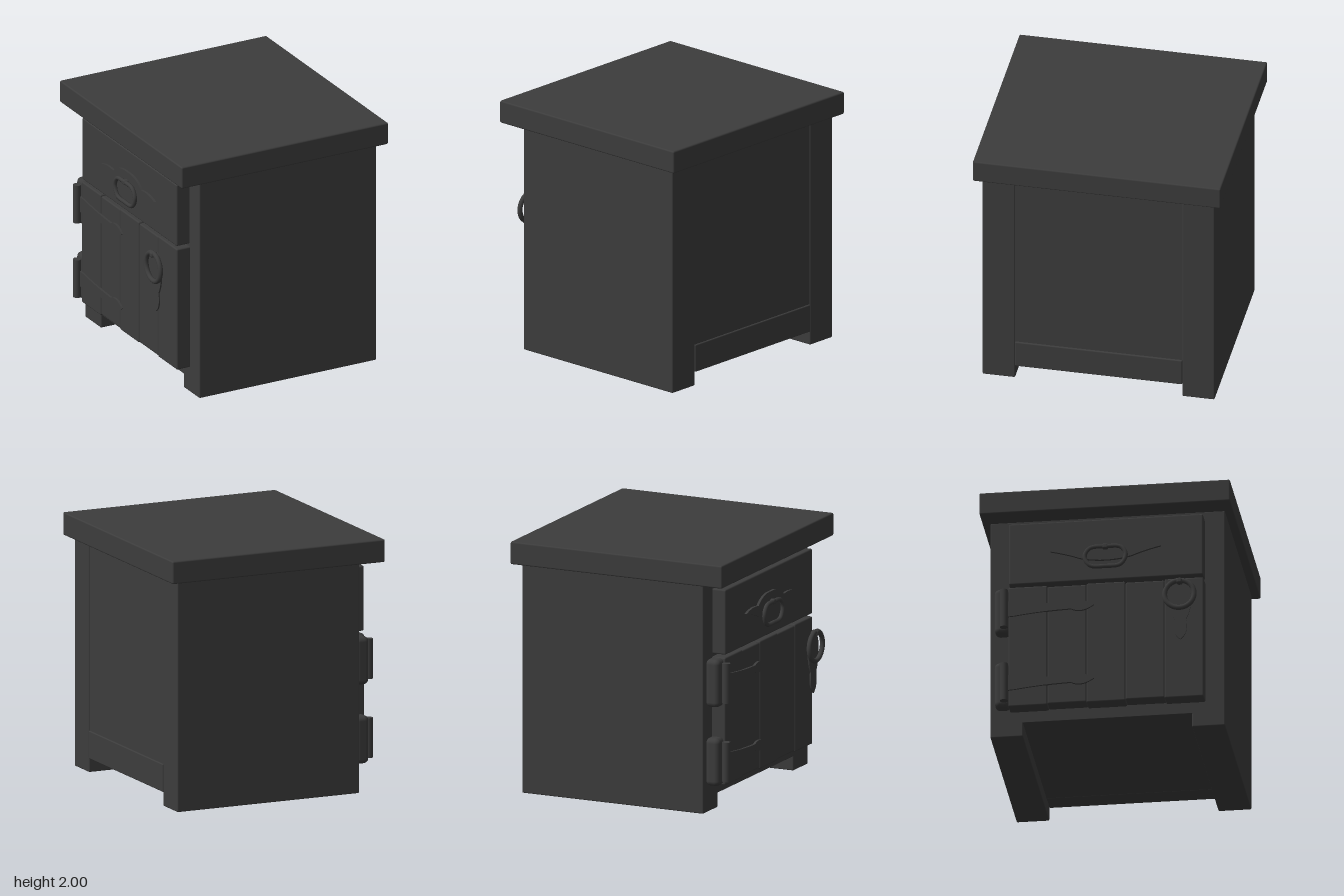
import * as THREE from 'three';
import { RoundedBoxGeometry } from 'three/addons/geometries/RoundedBoxGeometry.js';

const dark = new THREE.MeshStandardMaterial({ color: 0x3c3c3c });

export function createModel() {
  const cabinet = new THREE.Group();
  cabinet.name = 'cabinet';

  const add = (name, geometry) => {
    const mesh = new THREE.Mesh(geometry, dark);
    mesh.name = name;
    cabinet.add(mesh);
    return mesh;
  };

  // Softened block given by its extents on each axis
  const block = (name, [x0, x1], [y0, y1], [z0, z1], r = 0.008) =>
    add(name, new RoundedBoxGeometry(x1 - x0, y1 - y0, z1 - z0, 2, r)
      .translate((x0 + x1) / 2, (y0 + y1) / 2, (z0 + z1) / 2));

  // Flat plate lying in the y-z plane, growing towards -x from x
  const plate = (name, shape, x, y, z, depth) =>
    add(name, new THREE.ExtrudeGeometry(shape, { depth, bevelEnabled: false, curveSegments: 10 })
      .rotateY(-Math.PI / 2).translate(x, y, z));

  // Carcass
  block('top', [-0.88, 0.94], [1.82, 2], [-0.975, 0.975], 0.012);
  block('frontSide', [-0.69, 0.87], [0, 1.825], [0.655, 0.912], 0.01);
  block('backSide', [-0.69, 0.87], [0, 1.825], [-0.914, -0.66], 0.01);
  block('body', [-0.69, 0.862], [0.115, 1.825], [-0.67, 0.67], 0.004);
  block('bottomRail', [0.7, 0.875], [0.11, 0.33], [-0.66, 0.655]);

  // Drawer front and plank door
  block('drawerFront', [-0.805, -0.68], [1.24, 1.755], [-0.755, 0.755], 0.012);
  const pitch = 0.304;
  for (let i = 0; i < 5; i++) {
    const z = -0.76 + i * pitch;
    const drop = (i % 2) * 0.008;
    block('doorPlank', [-0.805 + drop / 2, -0.68], [0.205 + drop, 1.217 - drop], [z, z + pitch], 0.012);
  }

  // Hinges: post plate, barrel and tapered strap
  const strap = new THREE.Shape();
  strap.moveTo(0, -0.065);
  strap.lineTo(0.08, -0.06);
  strap.quadraticCurveTo(0.3, -0.03, 0.52, -0.025);
  strap.quadraticCurveTo(0.6, -0.07, 0.7, 0);
  strap.quadraticCurveTo(0.6, 0.07, 0.52, 0.025);
  strap.quadraticCurveTo(0.3, 0.03, 0.08, 0.06);
  strap.lineTo(0, 0.065);
  for (const y of [0.403, 1.028]) {
    block('hingePlate', [-0.80, -0.68], [y - 0.19, y + 0.19], [-0.87, -0.75], 0.04);
    add('hingeBarrel', new THREE.CylinderGeometry(0.032, 0.032, 0.315, 16).translate(-0.828, y, -0.79));
    plate('hingeStrap', strap, -0.8, y, -0.79, 0.02);
  }

  // Drawer pull: winged plate, post and swinging bail
  const wings = new THREE.Shape();
  wings.moveTo(-0.43, 0.0);
  wings.quadraticCurveTo(-0.33, 0.04, -0.22, 0.02);
  wings.quadraticCurveTo(-0.14, 0.1, 0, 0.09);
  wings.quadraticCurveTo(0.14, 0.1, 0.22, 0.02);
  wings.quadraticCurveTo(0.33, 0.04, 0.43, 0.0);
  wings.quadraticCurveTo(0.3, -0.03, 0.2, -0.07);
  wings.quadraticCurveTo(0, -0.12, -0.2, -0.07);
  wings.quadraticCurveTo(-0.3, -0.03, -0.43, 0.0);
  plate('drawerPullPlate', wings, -0.8, 1.495, 0, 0.025);
  block('drawerPullPost', [-0.86, -0.81], [1.485, 1.525], [-0.022, 0.022], 0.012);
  const bail = [[0, 1.505], [0.12, 1.495], [0.16, 1.43], [0.12, 1.35], [0, 1.338],
    [-0.12, 1.35], [-0.16, 1.43], [-0.12, 1.495]].map(([z, y]) => new THREE.Vector3(-0.843, y, z));
  add('drawerPullBail', new THREE.TubeGeometry(new THREE.CatmullRomCurve3(bail, true), 48, 0.017, 8, true));

  // Door pull: long thin plate with a hanging ring
  const back = new THREE.Shape();
  back.moveTo(0, -0.25);
  back.quadraticCurveTo(0.07, -0.2, 0.045, -0.08);
  back.quadraticCurveTo(0.09, 0, 0.085, 0.12);
  back.quadraticCurveTo(0.07, 0.22, 0, 0.25);
  back.quadraticCurveTo(-0.07, 0.22, -0.085, 0.12);
  back.quadraticCurveTo(-0.09, 0, -0.045, -0.08);
  back.quadraticCurveTo(-0.07, -0.2, 0, -0.25);
  plate('doorPullPlate', back, -0.886, 0.905, 0.59, 0.012);
  add('doorPullRing', new THREE.TorusGeometry(0.115, 0.02, 10, 40)
    .rotateY(Math.PI / 2).translate(-0.917, 1.03, 0.587));
  block('doorPullHook', [-0.945, -0.888], [1.115, 1.16], [0.565, 0.61], 0.015);

  return cabinet;
}
